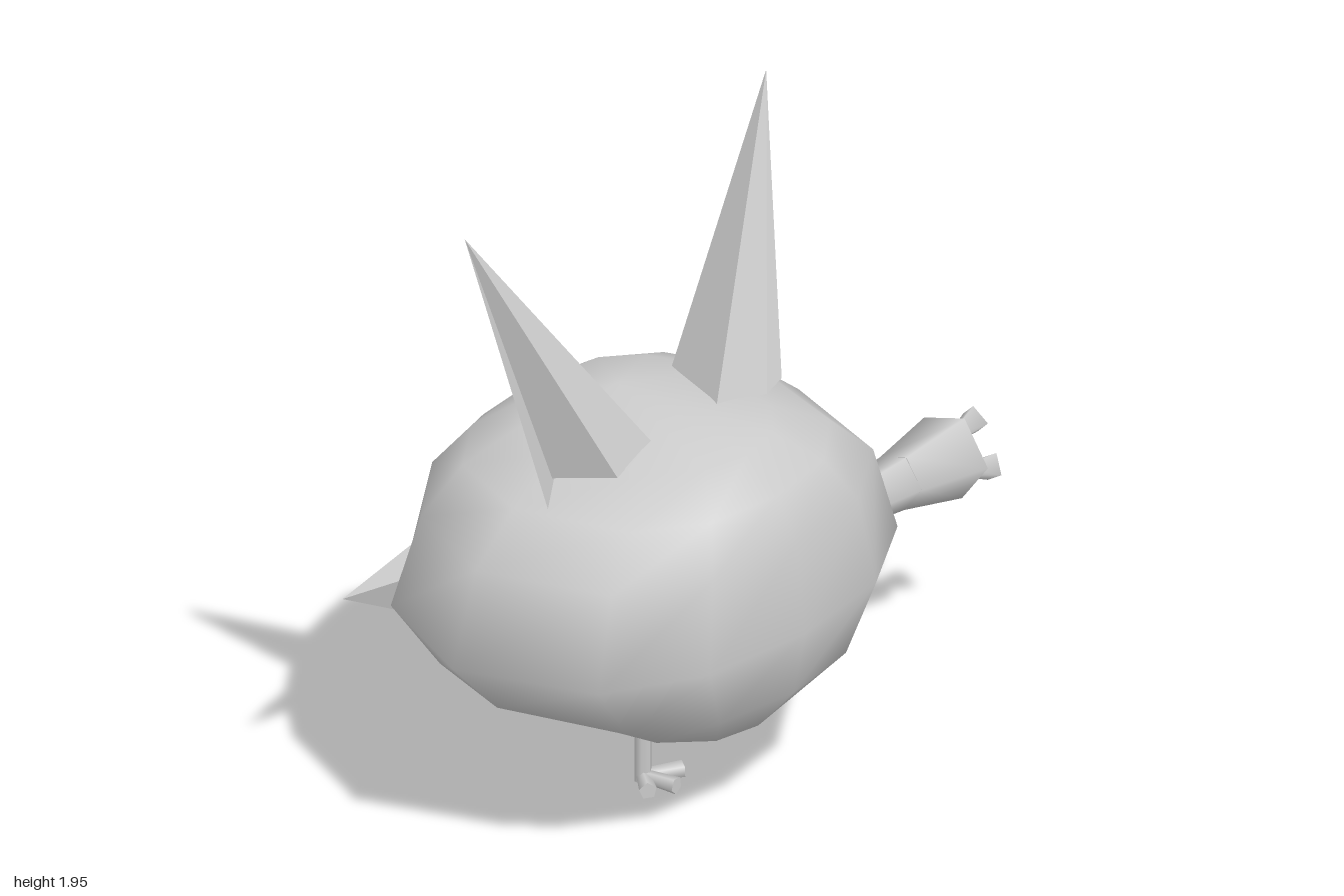
import * as THREE from 'three';

const material = new THREE.MeshStandardMaterial({ color: 0xcccccc, side: THREE.DoubleSide });
const flatMaterial = new THREE.MeshStandardMaterial({ color: 0xcccccc, side: THREE.DoubleSide, flatShading: true });
const CX = -0.21, CZ = 0.1;

function addMesh(parent, name, geometry, mat = material) {
  const mesh = new THREE.Mesh(geometry, mat);
  mesh.name = name;
  parent.add(mesh);
  return mesh;
}

// Tapered cylinder between two points
function addLimb(parent, name, from, to, r0, r1, sides) {
  const a = new THREE.Vector3(...from), b = new THREE.Vector3(...to);
  const dir = b.clone().sub(a);
  const mesh = addMesh(parent, name, new THREE.CylinderGeometry(r1, r0, dir.length(), sides));
  mesh.position.copy(a).add(b).multiplyScalar(0.5);
  mesh.quaternion.setFromUnitVectors(new THREE.Vector3(0, 1, 0), dir.normalize());
  return mesh;
}

// Pyramid from a tip and a ring of base corners
function pyramid(tip, base) {
  const pos = [...tip, ...base.flat()], index = [];
  const n = base.length;
  for (let i = 0; i < n; i++) index.push(0, 1 + i, 1 + ((i + 1) % n));
  for (let i = 1; i < n - 1; i++) index.push(1, 1 + i + 1, 1 + i);
  const g = new THREE.BufferGeometry();
  g.setAttribute('position', new THREE.Float32BufferAttribute(pos, 3));
  g.setIndex(index);
  g.computeVertexNormals();
  return g;
}

// Rounded body: twelve-sided rings up y, the back drawn out to a pointed tail
function bodyGeometry() {
  const plan = [[1, 0], [0.81, 0.66], [0.45, 0.93], [0, 1]];
  // y, half width, front depth, back corner [x, y, z], rear centre [y, z]
  const rings = [
    { y: 0.33, w: 0.32, d: 0.44, side: [0.25, 0.32, -0.12], corner: [0.14, 0.34, -0.38], rear: [0.36, -0.69] },
    { y: 0.48, w: 0.6, d: 0.57, side: [0.48, 0.46, -0.21], corner: [0.2, 0.44, -0.48], rear: [0.41, -0.71] },
    { y: 0.68, w: 0.79, d: 0.61, side: [0.62, 0.68, -0.27], corner: [0.28, 0.67, -0.48], rear: [0.62, -0.57] },
    { y: 0.95, w: 0.69, d: 0.58, side: [0.55, 0.95, -0.22], corner: [0.29, 0.95, -0.4], rear: [0.96, -0.46] },
    { y: 1.08, w: 0.53, d: 0.51, side: [0.43, 1.08, -0.17], corner: [0.24, 1.08, -0.3], rear: [1.09, -0.32] },
    { y: 1.17, w: 0.32, d: 0.4, side: [0.26, 1.17, -0.09], corner: [0.15, 1.18, -0.17], rear: [1.19, -0.18] },
  ];
  const pos = [], index = [], N = 12, M = rings.length;
  for (const r of rings) {
    const front = plan.map(([px, pz]) => [px * r.w, r.y, CZ + pz * r.d]);
    const flip = ([x, y, z]) => [-x, y, z];
    const ring = [
      ...front, flip(front[2]), flip(front[1]), flip(front[0]),
      flip(r.side), flip(r.corner), [0, ...r.rear], r.corner, r.side,
    ];
    for (const [x, y, z] of ring) pos.push(CX + x, y, z);
  }
  const bottom = N * M, top = bottom + 1;
  pos.push(CX, 0.22, CZ, CX, 1.23, 0.03);
  for (let i = 0; i < N; i++) {
    const j = (i + 1) % N;
    index.push(bottom, i, j);
    for (let k = 0; k < M - 1; k++) {
      const a = k * N + i, b = k * N + j;
      index.push(a, a + N, b, b, a + N, b + N);
    }
    index.push((M - 1) * N + i, top, (M - 1) * N + j);
  }
  const g = new THREE.BufferGeometry();
  g.setAttribute('position', new THREE.Float32BufferAttribute(pos, 3));
  g.setIndex(index);
  g.computeVertexNormals();
  return g;
}

export function createModel() {
  const model = new THREE.Group();
  model.name = 'creature';

  addMesh(model, 'body', bodyGeometry());

  // Folded ears with a groove in the front, mirrored about the body centre
  for (const s of [1, -1]) {
    const at = ([x, y, z]) => [CX + s * x, y, z];
    const base = [[0.5, 1.1, 0.2], [0.42, 1.14, 0.13], [0.32, 1.16, 0.3], [0.14, 1.19, 0.27], [0.23, 1.19, 0.03]].map(at);
    if (s < 0) base.reverse();
    addMesh(model, s > 0 ? 'leftEar' : 'rightEar', pyramid(at([0.645, 1.95, 0.02]), base), flatMaterial);
  }

  // Thin spike at the tail
  addMesh(model, 'tailSpike', pyramid([-0.86, 0.66, -0.42],
    [[-0.28, 0.53, -0.64], [-0.34, 0.34, -0.57], [-0.24, 0.46, -0.56]]), flatMaterial);

  // Single arm widening to a hand with three flared fingers
  const arm = new THREE.Group();
  arm.name = 'arm';
  model.add(arm);
  addLimb(arm, 'forearm', [0.45, 0.665, 0.31], [0.66, 0.66, 0.31], 0.065, 0.085, 5);
  addLimb(arm, 'hand', [0.66, 0.66, 0.31], [0.89, 0.65, 0.31], 0.085, 0.13, 5);
  for (const [y, z] of [[0.72, 0.31], [0.59, 0.37], [0.6, 0.23]]) {
    const y0 = 0.65 + (y - 0.65) * 0.6, z0 = 0.31 + (z - 0.31) * 0.6;
    addLimb(arm, 'finger', [0.87, y0, z0], [0.99, y, z], 0.015, 0.045, 4);
  }

  // Single leg with three short toes
  const leg = new THREE.Group();
  leg.name = 'leg';
  model.add(leg);
  addLimb(leg, 'shin', [CX, 0.01, 0.12], [CX, 0.3, 0.12], 0.025, 0.025, 6);
  for (const [x, z] of [[-0.06, 0.19], [0.015, 0.23], [0.1, 0.18]]) {
    addLimb(leg, 'toe', [CX, 0.024, 0.12], [CX + x, 0.024, z], 0.02, 0.026, 5);
  }
  return model;
}
